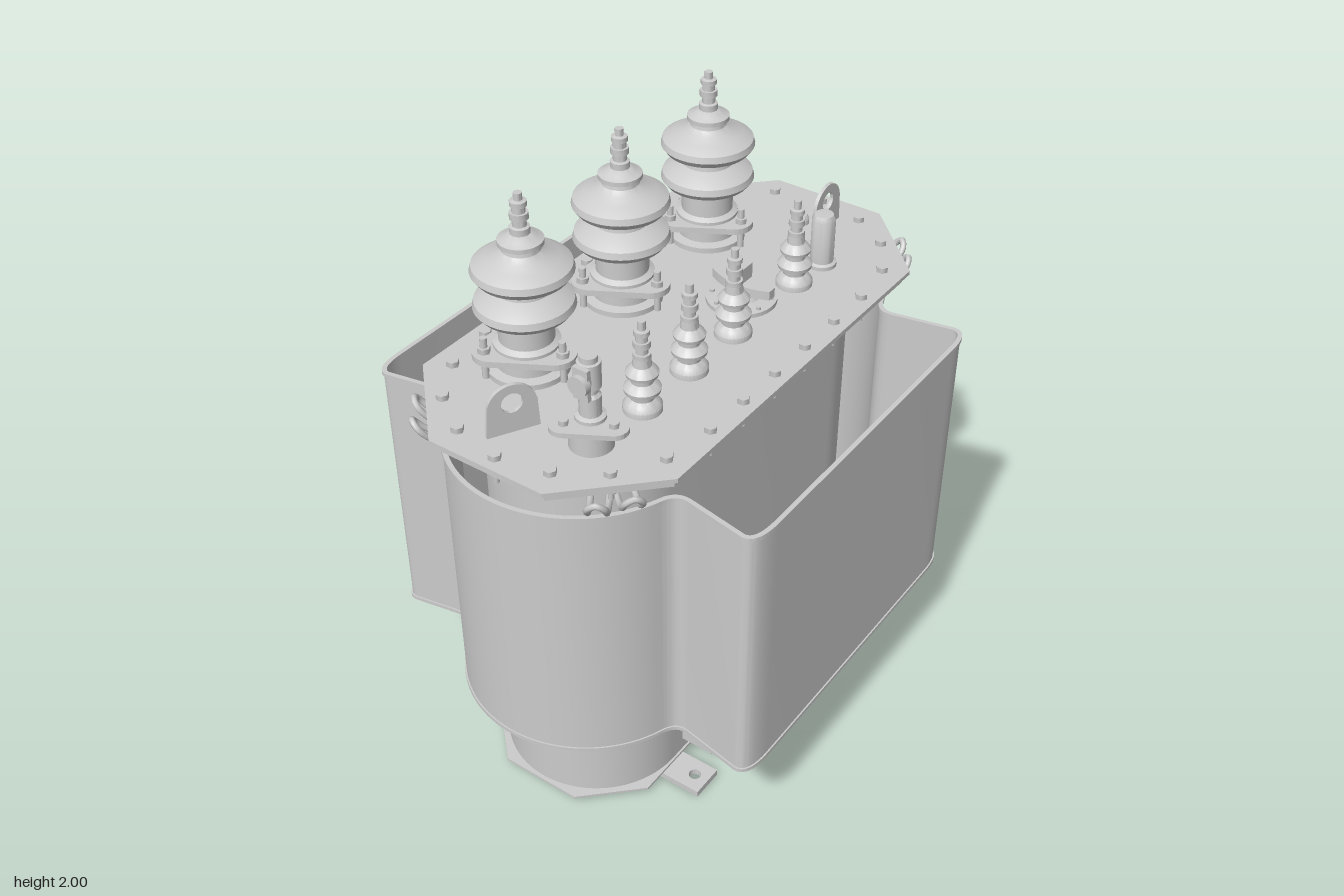
import * as THREE from 'three';
import { toCreasedNormals } from 'three/addons/utils/BufferGeometryUtils.js';

const V2 = (x, y) => new THREE.Vector2(x, y);
const V3 = (x, y, z) => new THREE.Vector3(x, y, z);
const grey = new THREE.MeshStandardMaterial({ color: 0xcccccc, side: THREE.DoubleSide });

function add(parent, name, geo, x = 0, y = 0, z = 0) {
  const m = new THREE.Mesh(geo, grey);
  m.name = name;
  m.position.set(x, y, z);
  parent.add(m);
  return m;
}
function group(parent, name, x = 0, y = 0, z = 0) {
  const g = new THREE.Group();
  g.name = name;
  g.position.set(x, y, z);
  parent.add(g);
  return g;
}
const cyl = (r, h, n = 20, r2 = r) => new THREE.CylinderGeometry(r2, r, h, n).translate(0, h / 2, 0);
const lathe = (pts, n = 32) =>
  toCreasedNormals(new THREE.LatheGeometry(pts.map(p => V2(p[0], p[1])), n), 0.6);
const extrude = (shape, depth) =>
  toCreasedNormals(new THREE.ExtrudeGeometry(shape, { depth, bevelEnabled: false, curveSegments: 24 }), 0.5);
// plan shape (x, -z) extruded upwards
const slab = (shape, h) => extrude(shape, h).rotateX(-Math.PI / 2);
const circleHole = (x, y, r) => new THREE.Path().absarc(x, y, r, 0, Math.PI * 2, true);

// octagon with half sizes a, b and corners cut at ca, cb
const octagon = (a, b, ca, cb) => new THREE.Shape([
  V2(a, -cb), V2(a, cb), V2(ca, b), V2(-ca, b), V2(-a, cb), V2(-a, -cb), V2(-ca, -b), V2(ca, -b)]);

function stadium(a, r) {
  const s = new THREE.Shape();
  s.absarc(a - r, 0, r, -Math.PI / 2, Math.PI / 2);
  s.absarc(r - a, 0, r, Math.PI / 2, Math.PI * 1.5);
  return s.closePath();
}

// triangle with rounded corners, one corner towards +z
function roundTriangle(d, r) {
  const s = new THREE.Shape();
  for (const deg of [30, 150, 270]) {
    const a = deg * Math.PI / 180;
    s.absarc(d * Math.cos(a), d * Math.sin(a), r, a - Math.PI / 3, a + Math.PI / 3);
  }
  return s.closePath();
}

// radiator shell outline: one quarter mirrored to all four, inset by t
function shellOutline(t) {
  const p = new THREE.Path();
  p.moveTo(0, 0.695 - t);
  p.lineTo(0.5, 0.695 - t);
  p.quadraticCurveTo(0.615 - t, 0.695 - t, 0.608 - t, 0.645);
  p.lineTo(0.572 - t, 0.45);
  p.quadraticCurveTo(0.562 - t, 0.4 - t, 0.62, 0.38 - t);
  p.absarc(0.48, 0, 0.405 - t, 1.2, 0, true);
  const q = p.getPoints(16);
  const back = [...q].reverse().slice(1);
  const half = [...q, ...back.map(v => V2(v.x, -v.y))];
  return [...half, ...half.slice(1, -1).reverse().map(v => V2(-v.x, v.y))];
}
function shellRing(outer, inner, h) {
  const s = new THREE.Shape(shellOutline(outer));
  s.holes.push(new THREE.Path(shellOutline(inner)));
  return slab(s, h);
}

function highBushing(parent, x) {
  const g = group(parent, 'highVoltageBushing', x, 1.42, -0.2);
  add(g, 'collar', lathe([[0, 0], [0.125, 0], [0.125, 0.02], [0.095, 0.025], [0.095, 0.07], [0, 0.07]]));
  add(g, 'clampFlange', slab(roundTriangle(0.105, 0.062), 0.02), 0, 0.07, 0);
  for (const deg of [30, 150, 270]) {
    const a = deg * Math.PI / 180;
    const bx = 0.132 * Math.cos(a), bz = -0.132 * Math.sin(a);
    add(g, 'clampStud', cyl(0.011, 0.14, 10), bx, 0, bz);
    add(g, 'clampNut', cyl(0.02, 0.018, 6), bx, 0.09, bz);
  }
  add(g, 'insulator', lathe([[0, 0.08], [0.1, 0.08], [0.1, 0.1], [0.083, 0.11], [0.083, 0.185],
    [0.1, 0.195], [0.135, 0.203], [0.15, 0.222], [0.145, 0.243], [0.115, 0.262], [0.083, 0.275], [0.08, 0.295],
    [0.1, 0.308], [0.135, 0.318], [0.15, 0.338], [0.145, 0.358], [0.11, 0.378], [0.075, 0.39], [0.058, 0.405],
    [0.055, 0.42], [0.067, 0.422], [0.067, 0.436], [0.045, 0.445], [0.03, 0.455], [0, 0.455]], 40));
  add(g, 'terminal', lathe([[0.03, 0.45], [0.03, 0.475], [0.021, 0.478], [0.021, 0.5], [0.028, 0.5],
    [0.028, 0.52], [0.02, 0.52], [0.02, 0.54], [0.025, 0.54], [0.025, 0.555], [0.013, 0.558], [0.013, 0.58], [0, 0.58]], 12));
}

function lowBushing(parent, x) {
  const g = group(parent, 'lowVoltageBushing', x, 1.42, 0.195);
  add(g, 'insulator', lathe([[0, 0], [0.058, 0], [0.058, 0.02], [0.048, 0.035], [0.036, 0.045], [0.038, 0.06],
    [0.053, 0.068], [0.055, 0.08], [0.045, 0.092], [0.033, 0.1], [0.034, 0.115], [0.047, 0.122],
    [0.049, 0.132], [0.038, 0.147], [0.028, 0.155], [0.026, 0.18], [0, 0.18]]));
  add(g, 'terminal', lathe([[0.026, 0.175], [0.026, 0.195], [0.018, 0.195], [0.018, 0.215], [0.025, 0.215],
    [0.025, 0.235], [0.018, 0.235], [0.018, 0.255], [0.023, 0.255], [0.023, 0.27], [0.012, 0.272], [0.012, 0.3], [0, 0.3]], 12));
}

function liftingEye(parent, x, z, turn) {
  const s = new THREE.Shape();
  s.moveTo(-0.08, 0);
  s.lineTo(0.08, 0);
  s.lineTo(0.075, 0.1);
  s.absarc(0, 0.085, 0.075, 0.2, Math.PI - 0.2);
  s.closePath();
  s.holes.push(circleHole(0, 0.1, 0.032));
  add(parent, 'liftingEye', extrude(s, 0.012).translate(0, 0, -0.006), x, 1.42, z).rotation.y = turn;
}

export function createModel() {
  const root = new THREE.Group();
  root.name = 'transformer';

  // tank, base plate and skids
  add(root, 'tank', slab(stadium(0.755, 0.305), 1.36), 0, 0.03, 0);
  add(root, 'basePlate', slab(octagon(0.768, 0.312, 0.6, 0.14), 0.008), 0, 0.022, 0);
  for (const x of [-0.46, 0.46]) {
    const s = new THREE.Shape([V2(-0.057, -0.45), V2(0.057, -0.45), V2(0.057, 0.45), V2(-0.057, 0.45)]);
    s.holes.push(circleHole(0, 0.4, 0.02), circleHole(0, -0.4, 0.02));
    add(root, 'skid', slab(s, 0.022), x, 0, 0);
  }

  // radiator shell, open above and below, with rims
  add(root, 'radiatorShell', shellRing(0, 0.007, 0.93), 0, 0.36, 0);
  for (const y of [0.355, 1.28]) add(root, 'shellRim', shellRing(-0.005, 0.01, 0.013), 0, y, 0);

  // tank flange and lid
  add(root, 'tankFlange', slab(octagon(0.88, 0.44, 0.63, 0.19), 0.014), 0, 1.38, 0);
  add(root, 'lid', slab(octagon(0.9, 0.458, 0.64, 0.2), 0.014), 0, 1.408, 0);

  // lid bolts around the edge
  const bolts = [[0.855, 0], [-0.855, 0]];
  for (const s of [-1, 1]) {
    for (let i = 0; i < 6; i++) bolts.push([-0.415 + i * 0.166, s * 0.41]);
    for (const t of [-1, 1]) bolts.push([t * 0.59, s * 0.385], [t * 0.73, s * 0.3], [t * 0.82, s * 0.165]);
  }
  for (const [x, z] of bolts) {
    const b = group(root, 'lidBolt', x, 0, z);
    add(b, 'head', cyl(0.02, 0.018, 6), 0, 1.422, 0);
    add(b, 'shank', cyl(0.009, 0.085, 8), 0, 1.34, 0);
    add(b, 'nut', cyl(0.018, 0.015, 6), 0, 1.365, 0);
  }

  // paired rod hooks under each lid corner
  for (const sx of [-1, 1]) for (const sz of [-1, 1]) {
    for (const [x, z, a] of [[0.67, 0.22, 0.58], [0.62, 0.25, 0.84]]) {
      const pts = [[0, -1, 1.315], [0.1, -1, 1.315], [0.15, -1, 1.335], [0.185, -0.9, 1.375], [0.195, 0, 1.395],
        [0.185, 0.9, 1.375], [0.15, 1, 1.335], [0.1, 1, 1.315], [0, 1, 1.315]].map(([r, w, y]) => V3(
        sx * (x + r * Math.cos(a) - w * 0.026 * Math.sin(a)), y,
        sz * (z + r * Math.sin(a) + w * 0.026 * Math.cos(a))));
      add(root, 'rodHook', new THREE.TubeGeometry(new THREE.CatmullRomCurve3(pts), 36, 0.01, 8));
    }
  }

  // bushings
  for (const x of [-0.465, -0.004, 0.457]) highBushing(root, x);
  for (const x of [-0.44, -0.21, 0.02, 0.365]) lowBushing(root, x);

  // tap changer with spindle-shaped handle
  const tap = group(root, 'tapChanger', 0.195, 1.42, 0.11);
  add(tap, 'disc', lathe([[0, 0], [0.112, 0], [0.112, 0.016], [0.06, 0.02], [0.04, 0.05], [0, 0.05]]));
  const spindle = new THREE.Shape();
  spindle.moveTo(0, 0.11);
  spindle.quadraticCurveTo(0.065, 0, 0.015, -0.11);
  spindle.lineTo(-0.015, -0.11);
  spindle.quadraticCurveTo(-0.065, 0, 0, 0.11);
  add(tap, 'handle', slab(spindle, 0.03), 0, 0.045, 0);
  add(tap, 'knob', new THREE.BoxGeometry(0.06, 0.06, 0.035), 0, 0.095, 0);
  for (let i = 0; i < 8; i++) {
    const a = i * Math.PI / 4 + 0.4;
    add(tap, 'discScrew', cyl(0.009, 0.01, 6), 0.093 * Math.cos(a), 0.016, 0.093 * Math.sin(a));
  }

  // oil gauge on a triangular flange
  const gauge = group(root, 'oilGauge', -0.65, 1.42, 0.175);
  add(gauge, 'neck', cyl(0.065, 0.08, 24));
  add(gauge, 'flange', slab(roundTriangle(0.08, 0.042), 0.016), 0, 0.078, 0);
  for (const deg of [30, 150, 270]) {
    const a = deg * Math.PI / 180;
    add(gauge, 'flangeBolt', cyl(0.015, 0.02, 6), 0.08 * Math.cos(a), 0.09, -0.08 * Math.sin(a));
  }
  add(gauge, 'stem', lathe([[0, 0.09], [0.045, 0.09], [0.045, 0.105], [0.032, 0.11], [0.032, 0.17],
    [0.024, 0.18], [0.024, 0.2], [0.034, 0.2], [0.034, 0.28], [0.026, 0.282], [0.026, 0.3], [0, 0.3]], 20));
  add(gauge, 'sideArm', new THREE.BoxGeometry(0.05, 0.03, 0.03), -0.035, 0.235, 0.01);
  add(gauge, 'sideDial', cyl(0.032, 0.022, 20).rotateZ(Math.PI / 2), -0.045, 0.235, 0.01);
  add(gauge, 'sideBracket', new THREE.BoxGeometry(0.015, 0.1, 0.05), -0.045, 0.235, 0.01);

  // filler neck and vent cap
  add(root, 'fillerNeck', lathe([[0, 0], [0.048, 0], [0.048, 0.015], [0.038, 0.02], [0.038, 0.17],
    [0.03, 0.185], [0, 0.187]], 24), 0.515, 1.42, 0.205);
  add(root, 'ventCap', lathe([[0, 0], [0.026, 0], [0.026, 0.02], [0.018, 0.032], [0, 0.036]], 20), 0.7, 1.42, 0.015);

  liftingEye(root, 0.72, 0.095, 0);
  liftingEye(root, -0.73, -0.038, -0.5);

  // drain valve and earthing lug low on the front
  const valve = group(root, 'drainValve', -0.025, 0.125, 0.3);
  const along = (r, d, n) => cyl(r, d, n).rotateX(Math.PI / 2);
  add(valve, 'pipe', along(0.03, 0.06, 20));
  add(valve, 'collar', along(0.045, 0.025, 24), 0, 0, 0.035);
  add(valve, 'plug', along(0.038, 0.04, 8), 0, 0, 0.06);
  add(valve, 'vent', cyl(0.014, 0.025, 8), 0, 0.038, 0.045);
  const lug = new THREE.Shape([V2(-0.06, -0.045), V2(0.06, -0.045), V2(0.06, 0.045), V2(-0.06, 0.045)]);
  lug.holes.push(circleHole(0.03, 0.01, 0.018));
  add(root, 'earthLug', extrude(lug, 0.01).rotateY(-Math.PI / 2), -0.385, 0.12, 0.362);

  return root;
}
